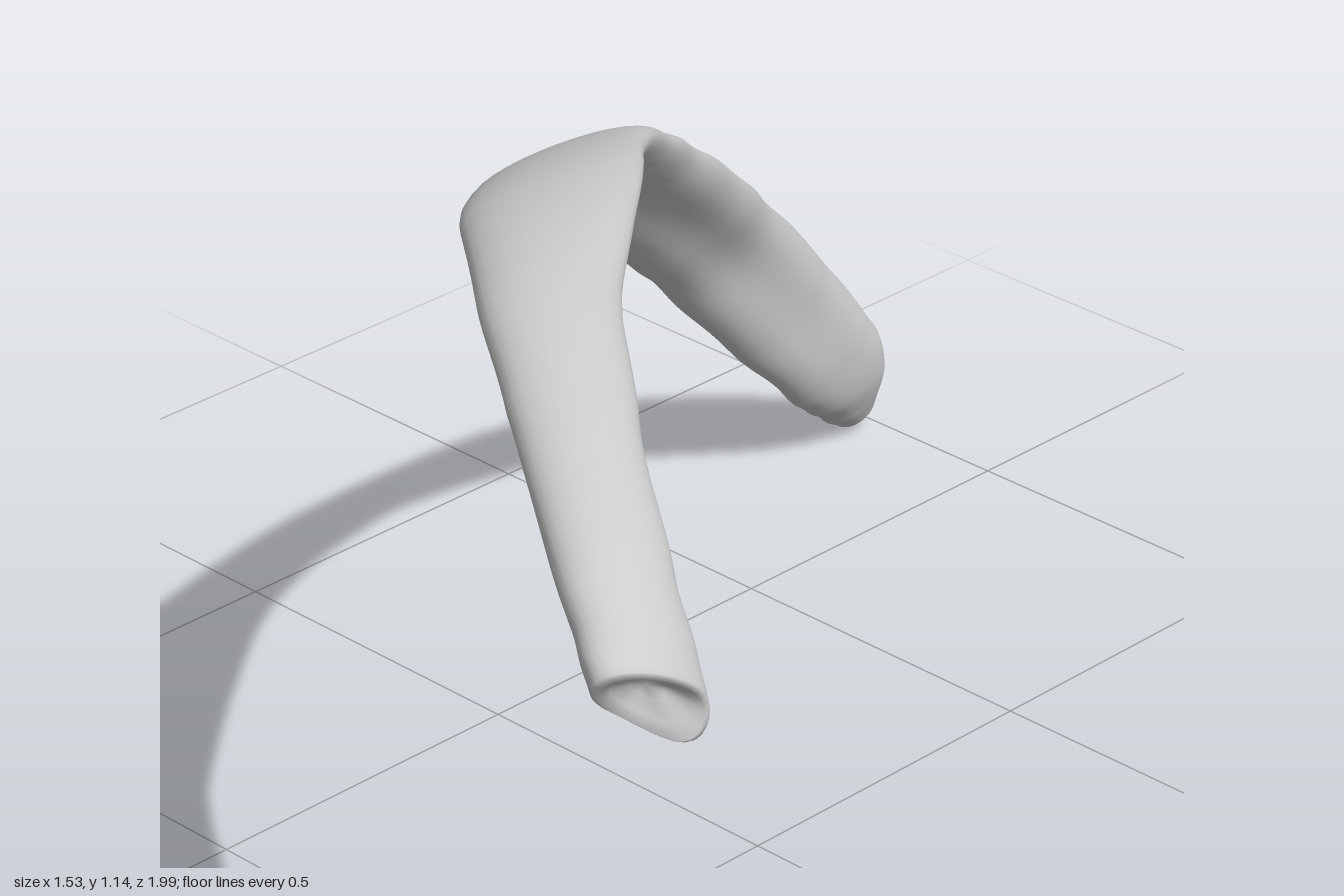
import * as THREE from 'three';

const bone = new THREE.MeshStandardMaterial({ color: 0xcccccc });
bone.name = 'bone grey';

// Stations along the rib: centre x, y, z, half width, half thickness, twist
const STATIONS = [
  [-0.738, 0.045, -0.965, 0.036, 0.024, 0],
  [-0.73, 0.08, -0.945, 0.058, 0.036, 0],
  [-0.712, 0.13, -0.912, 0.076, 0.042, 0],
  [-0.70, 0.19, -0.86, 0.088, 0.043, 0],
  [-0.69, 0.31, -0.75, 0.095, 0.047, 0],
  [-0.66, 0.455, -0.605, 0.098, 0.046, 0],
  [-0.60, 0.57, -0.475, 0.097, 0.046, 0],
  [-0.50, 0.71, -0.29, 0.1, 0.042, -0.03],
  [-0.40, 0.825, -0.125, 0.104, 0.038, -0.05],
  [-0.20, 0.993, 0.14, 0.11, 0.034, -0.06],
  [0.0, 1.09, 0.36, 0.11, 0.038, -0.04],
  [0.2, 1.112, 0.56, 0.089, 0.043, 0],
  [0.4, 1.077, 0.715, 0.077, 0.044, 0],
  [0.6, 1.003, 0.85, 0.075, 0.046, -0.1],
  [0.68, 0.952, 0.893, 0.079, 0.045, -0.25],
  [0.73, 0.918, 0.922, 0.085, 0.044, -0.36],
];
const RINGS = 140, SIDES = 32;

function ribGeometry() {
  const path = new THREE.CatmullRomCurve3(STATIONS.map(s => new THREE.Vector3(s[0], s[1], s[2])));
  const sizes = new THREE.CatmullRomCurve3(STATIONS.map(s => new THREE.Vector3(s[3], s[4], s[5])));
  const pos = [], index = [];

  // One cross-section; shrink pulls it towards the centre, push moves it along the rib
  function addRing(u, shrink = 1, push = 0) {
    const c = path.getPoint(u), t = path.getTangent(u), size = sizes.getPoint(u);
    const thin = new THREE.Vector3(-t.y, t.x, 0).normalize().applyAxisAngle(t, size.z);
    const wide = new THREE.Vector3().crossVectors(thin, t);
    const lip = THREE.MathUtils.smoothstep(u, 0.95, 1) * 0.03 * shrink;
    const groove = 0.3 * Math.sin(Math.PI * u) ** 2;
    for (let j = 0; j < SIDES; j++) {
      const a = (j / SIDES) * Math.PI * 2, cos = Math.cos(a), sin = Math.sin(a);
      // Shallow hollow on the inner face, faint ripples along the edges
      const flat = sin < 0 ? 1 - groove * sin ** 8 : 1;
      const ripple = 1 + 0.015 * Math.sin(u * 90) * cos + 0.012 * Math.sin(u * 47 + 1);
      const p = c.clone()
        .addScaledVector(wide, cos * size.x * shrink * ripple)
        .addScaledVector(thin, sin * size.y * shrink * flat)
        .addScaledVector(t, push + lip * Math.max(0, Math.cos(a + 0.5)) ** 3);
      pos.push(p.x, p.y, p.z);
    }
  }

  for (let i = 0; i <= RINGS; i++) addRing(i / RINGS);
  // Cupped front end
  addRing(1, 0.88, 0.006);
  addRing(1, 0.65, -0.004);
  addRing(1, 0.3, -0.014);

  const rings = pos.length / 3 / SIDES;
  for (let i = 0; i < rings - 1; i++) {
    for (let j = 0; j < SIDES; j++) {
      const k = (j + 1) % SIDES;
      const a = i * SIDES + j, b = i * SIDES + k;
      index.push(a, b, a + SIDES, b, b + SIDES, a + SIDES);
    }
  }
  // Rounded back tip and centre of the cup
  const tip = pos.length / 3, cup = tip + 1, last = (rings - 1) * SIDES;
  const end = path.getPoint(1).addScaledVector(path.getTangent(1), -0.016);
  pos.push(-0.743, 0.015, -0.985, end.x, end.y, end.z);
  for (let j = 0; j < SIDES; j++) {
    const k = (j + 1) % SIDES;
    index.push(tip, k, j, cup, last + j, last + k);
  }

  const g = new THREE.BufferGeometry();
  g.setAttribute('position', new THREE.Float32BufferAttribute(pos, 3));
  g.setIndex(index);
  g.computeVertexNormals();
  return g;
}

export function createModel() {
  const group = new THREE.Group();
  group.name = 'ribBone';
  const rib = new THREE.Mesh(ribGeometry(), bone);
  rib.name = 'rib';
  group.add(rib);
  return group;
}
